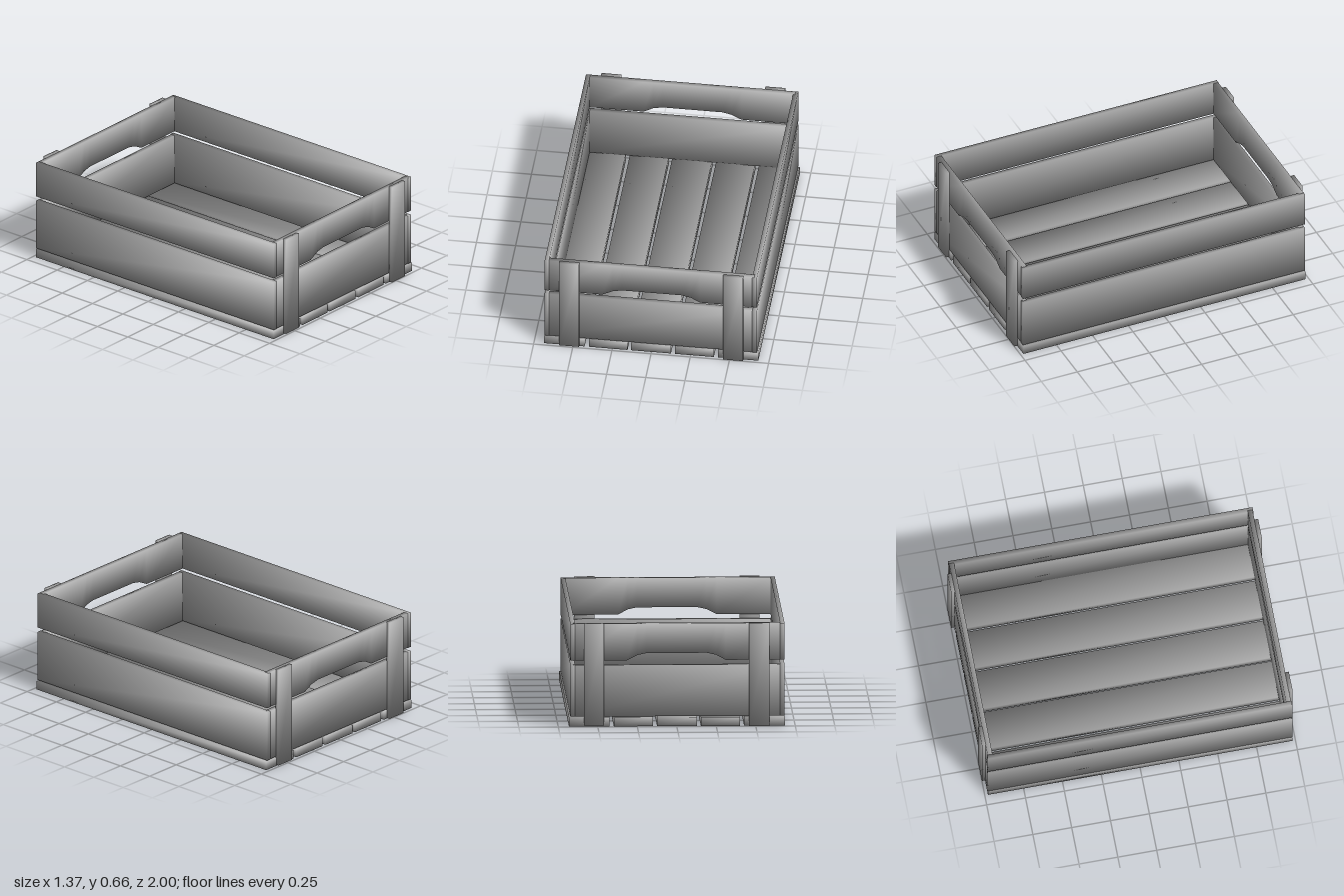
import * as THREE from 'three';

const material = new THREE.MeshStandardMaterial({ color: 0xa5a5a5 });

// Board lofted through stations [x, bottom, top], from z0 to z1 in thickness.
// Corners are shared, so the shading rolls softly around the edges.
function boardGeometry(stations, z0, z1) {
  const points = stations.flatMap(([x, y0, y1]) => [
    new THREE.Vector3(x, y0, z1), new THREE.Vector3(x, y1, z1),
    new THREE.Vector3(x, y1, z0), new THREE.Vector3(x, y0, z0),
  ]);
  const normals = points.map(() => new THREE.Vector3());
  const index = [];
  const quad = (a, b, c, d) => {
    index.push(a, b, c, a, c, d);
    const u = points[c].clone().sub(points[a]);
    const n = u.cross(points[d].clone().sub(points[b])).normalize();
    for (const k of [a, b, c, d]) normals[k].add(n);
  };

  const last = 4 * (stations.length - 1);
  for (let i = 0; i < last; i += 4) {
    for (let k = 0; k < 4; k++) {
      const next = (k + 1) % 4;
      quad(i + k, i + 4 + k, i + 4 + next, i + next);
    }
  }
  quad(3, 0, 1, 2);
  quad(last, last + 3, last + 2, last + 1);

  const g = new THREE.BufferGeometry().setFromPoints(points);
  const flat = normals.flatMap(n => n.normalize().toArray());
  g.setAttribute('normal', new THREE.Float32BufferAttribute(flat, 3));
  g.setIndex(index);
  return g;
}

const plain = (x0, x1, y0, y1) => [[x0, y0, y1], [x1, y0, y1]];

export function createModel() {
  const crate = new THREE.Group();
  crate.name = 'crate';

  const add = (parent, name, geometry) => {
    const mesh = new THREE.Mesh(geometry, material);
    mesh.name = name;
    parent.add(mesh);
  };

  // Floor slats, running front to back
  const slats = [[-0.685, -0.427], [-0.4, -0.153], [-0.13, 0.124], [0.15, 0.398], [0.424, 0.682]];
  slats.forEach(([x0, x1], i) => {
    const g = boardGeometry(plain(-0.98, 0.98, 0, 0.056), x0, x1);
    g.rotateY(Math.PI / 2);
    add(crate, `floorSlat${i + 1}`, g);
  });

  // Long side boards
  for (const [side, sign, inner, outer] of [['left', 1, 0.643, 0.673], ['right', -1, 0.655, 0.683]]) {
    for (const [level, y0, y1] of [['Lower', 0.063, 0.392], ['Upper', 0.422, 0.655]]) {
      const g = boardGeometry(plain(-0.98, 0.98, y0, y1), inner, outer);
      g.rotateY(sign * Math.PI / 2);
      add(crate, `${side}${level}Board`, g);
    }
  }

  // Upper end board with the hand hold cut into its lower edge
  const handle = [
    [-0.655, 0.422], [-0.315, 0.422], [-0.25, 0.455], [-0.19, 0.468],
    [0.19, 0.468], [0.25, 0.455], [0.31, 0.422], [0.655, 0.422],
  ].map(([x, y]) => [x, y, 0.657]);

  // Both ends: two boards and two outer posts
  for (const [end, angle] of [['front', 0], ['back', Math.PI]]) {
    const group = new THREE.Group();
    group.name = `${end}End`;
    group.rotation.y = angle;
    add(group, `${end}LowerBoard`, boardGeometry(plain(-0.655, 0.655, 0.063, 0.392), 0.945, 0.977));
    add(group, `${end}HandleBoard`, boardGeometry(handle, 0.945, 0.977));
    add(group, `${end}PostRight`, boardGeometry(plain(-0.587, -0.46, 0.008, 0.66), 0.975, 1));
    add(group, `${end}PostLeft`, boardGeometry(plain(0.458, 0.587, 0.002, 0.66), 0.975, 1));
    crate.add(group);
  }
  return crate;
}
